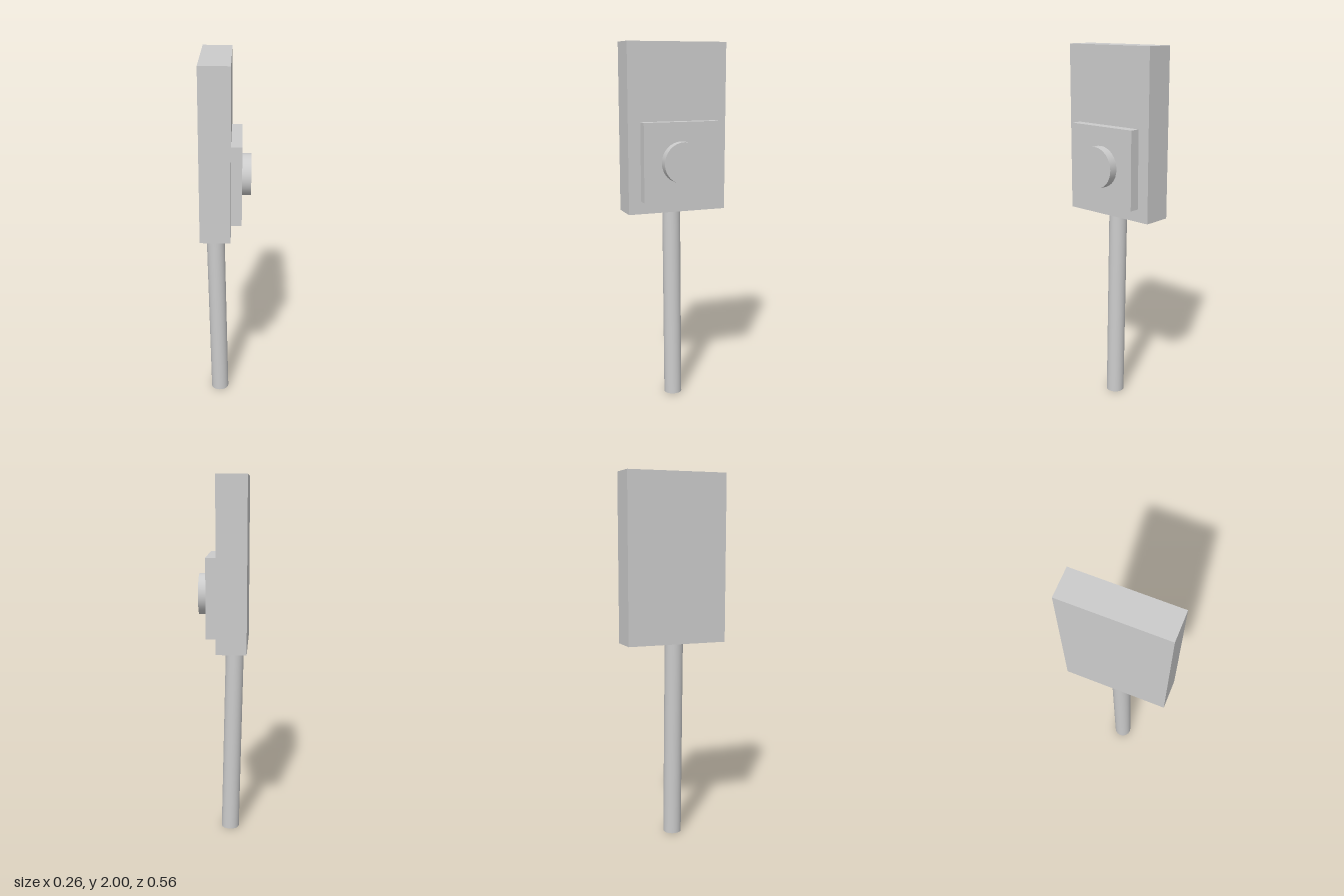
import * as THREE from 'three';

export function createModel() {
  const group = new THREE.Group();
  const material = new THREE.MeshStandardMaterial({ color: 0xcccccc });

  const add = (name, geometry, x, y, z) => {
    const mesh = new THREE.Mesh(geometry, material);
    mesh.name = name;
    mesh.position.set(x, y, z);
    group.add(mesh);
    return mesh;
  };

  // Upright slab with a square plate and round button on its left face
  add('body', new THREE.BoxGeometry(0.16, 0.91, 0.56), -0.053, 1.545, 0);
  add('plate', new THREE.BoxGeometry(0.057, 0.425, 0.424), 0.0555, 1.372, -0.001);
  const button = add('button', new THREE.CylinderGeometry(0.112, 0.112, 0.048, 32), 0.108, 1.37, 0);
  button.rotation.z = -Math.PI / 2;

  // Slightly leaning handle, running from the ground to just inside the body
  const bottom = new THREE.Vector3(-0.038, 0.001, 0.005);
  const top = new THREE.Vector3(-0.062, 1.1, 0.005);
  const axis = top.clone().sub(bottom);
  const handle = add('handle', new THREE.CylinderGeometry(0.05, 0.05, axis.length(), 32), 0, 0, 0);
  handle.position.copy(bottom).add(top).multiplyScalar(0.5);
  handle.quaternion.setFromUnitVectors(new THREE.Vector3(0, 1, 0), axis.normalize());

  return group;
}
